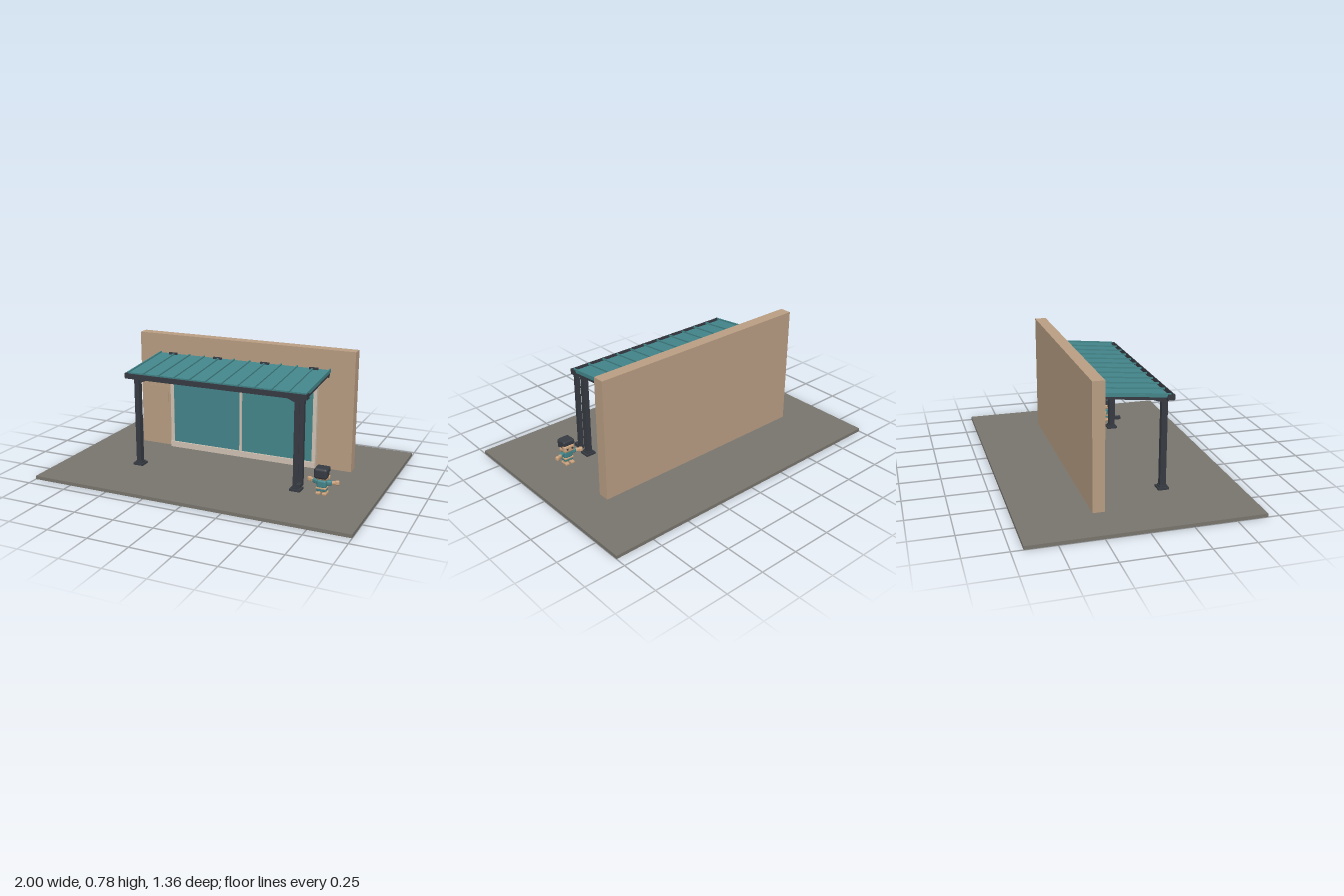
import * as THREE from 'three';
import { RoundedBoxGeometry } from 'three/addons/geometries/RoundedBoxGeometry.js';

const mat = (name, color, side = THREE.FrontSide) => {
  const m = new THREE.MeshStandardMaterial({ color, side });
  m.name = name;
  return m;
};

export function createModel() {
  const model = new THREE.Group();
  const paving = mat('paving', 0x78756e);
  const plaster = mat('plaster', 0xb89d82);
  const teal = mat('teal', 0x43858a);
  const dark = mat('charcoal', 0x363b42);
  const trim = mat('pale trim', 0xcfc2b2);
  const skin = mat('skin', 0xcaa27c);
  const copper = mat('copper', 0x8f6255);

  const add = (name, geo, m, x, y, z, parent = model) => {
    const mesh = new THREE.Mesh(geo, m);
    mesh.name = name;
    mesh.position.set(x, y, z);
    parent.add(mesh);
    return mesh;
  };
  // Box given by its lower and upper limits
  const box = (name, m, x0, x1, y0, y1, z0, z1, parent = model) =>
    add(name, new THREE.BoxGeometry(x1 - x0, y1 - y0, z1 - z0), m,
      (x0 + x1) / 2, (y0 + y1) / 2, (z0 + z1) / 2, parent);
  const group = (name, x, y, z, parent = model) => {
    const g = new THREE.Group();
    g.name = name;
    g.position.set(x, y, z);
    parent.add(g);
    return g;
  };

  // Ground and house wall
  box('groundSlab', paving, -1, 1, 0, 0.021, -0.682, 0.682);
  box('houseWall', plaster, -0.735, 0.735, 0.021, 0.78, -0.247, -0.175);
  box('wallPanel', plaster, -0.68, -0.535, 0.318, 0.428, -0.176, -0.172);

  // Sliding glass door
  const door = group('slidingDoor', 0, 0, 0);
  for (const s of [-1, 1]) {
    const x = s * 0.496;
    box('doorJamb', trim, x - 0.012, x + 0.012, 0.021, 0.598, -0.175, -0.153, door);
    const p = s * 0.245;
    box('doorGlass', teal, p - 0.241, p + 0.241, 0.058, 0.567, -0.162, -0.156, door);
  }
  box('doorHead', trim, -0.508, 0.508, 0.565, 0.598, -0.175, -0.153, door);
  box('doorSill', trim, -0.508, 0.508, 0.021, 0.059, -0.175, -0.145, door);
  box('doorMullion', trim, -0.008, 0.008, 0.055, 0.57, -0.17, -0.147, door);

  // Sloping roof with standing seams and rafters
  const roof = group('roof', 0, 0.628, 0.03);
  roof.rotation.x = 0.098;
  box('roofPanel', teal, -0.588, 0.583, -0.007, 0.007, -0.208, 0.207, roof);
  for (let i = 0; i < 12; i++) {
    const x = -0.583 + i * 0.1056;
    box('roofSeam', teal, x - 0.004, x + 0.004, 0.006, 0.016, -0.208, 0.222, roof);
  }
  for (let i = 0; i < 5; i++) {
    const x = -0.565 + i * 0.2825;
    box('rafter', dark, x - 0.012, x + 0.012, -0.026, -0.007, -0.206, 0.2, roof);
  }
  box('wallLedger', dark, -0.575, 0.575, 0.61, 0.636, -0.176, -0.162);
  for (const x of [-0.485, -0.165, 0.16, 0.48])
    box('wallBracket', dark, x - 0.029, x + 0.029, 0.612, 0.667, -0.158, -0.15);

  // Front beam and open gutter
  box('frontBeam', dark, -0.575, 0.575, 0.585, 0.606, 0.216, 0.24);
  box('gutterFloor', dark, -0.594, 0.59, 0.583, 0.59, 0.232, 0.272);
  box('gutterFront', dark, -0.594, 0.59, 0.583, 0.615, 0.266, 0.272);
  box('gutterBack', dark, -0.594, 0.59, 0.583, 0.609, 0.228, 0.234);
  for (const x of [-0.594, 0.584])
    box('gutterEnd', dark, x, x + 0.006, 0.583, 0.617, 0.23, 0.272);

  // Posts with stepped feet, and diagonal braces
  for (const s of [-1, 1]) {
    const x = s * 0.525;
    const post = group('post', x, 0, 0.232);
    box('postShaft', dark, -0.016, 0.016, 0.021, 0.588, -0.018, 0.018, post);
    box('postBase', dark, -0.033, 0.033, 0.021, 0.034, -0.033, 0.033, post);
    box('postCollar', dark, -0.022, 0.022, 0.034, 0.044, -0.024, 0.024, post);
    const side = box('beamBrace', dark, -0.038, 0.038, -0.007, 0.007, -0.009, 0.009, post);
    side.position.set(-s * 0.043, 0.573, 0);
    side.rotation.z = -s * 0.4;
    const rear = box('rafterBrace', dark, -0.01, 0.01, -0.007, 0.007, -0.066, 0.066, post);
    rear.position.set(0, 0.583, -0.073);
    rear.rotation.x = 0.33;
  }

  // Downspout with kicked-out outlet
  box('downspout', dark, 0.549, 0.574, 0.064, 0.585, 0.242, 0.268);
  box('downspoutOutlet', dark, 0.549, 0.574, 0.064, 0.085, 0.26, 0.306);

  // Ceiling lamps
  for (const x of [-0.28, 0.28]) {
    const lamp = group('ceilingLamp', x, 0, 0.012);
    add('lampHousing', new THREE.CylinderGeometry(0.027, 0.027, 0.017, 20), dark, 0, 0.6, 0, lamp);
    add('lampLens', new THREE.CylinderGeometry(0.022, 0.022, 0.008, 20), copper, 0, 0.588, 0, lamp);
  }

  // Small figure looking towards the house
  const figure = group('figure', 0.682, 0.021, 0.23);
  figure.rotation.y = Math.PI;
  const soft = (name, m, w, h, d, x, y, z, parent = figure) =>
    add(name, new RoundedBoxGeometry(w, h, d, 3, Math.min(w, h, d) * 0.28), m, x, y, z, parent);
  soft('hair', dark, 0.082, 0.066, 0.058, 0, 0.136, -0.014);
  soft('fringe', dark, 0.08, 0.034, 0.04, 0, 0.151, 0.014);
  soft('face', skin, 0.074, 0.05, 0.056, 0, 0.113, 0.008);
  soft('torso', teal, 0.058, 0.05, 0.044, 0, 0.066, 0);
  soft('belt', skin, 0.062, 0.01, 0.05, 0, 0.042, 0);
  soft('shorts', teal, 0.06, 0.02, 0.046, 0, 0.033, 0);
  for (const s of [-1, 1]) {
    soft('ear', skin, 0.014, 0.02, 0.018, s * 0.041, 0.113, 0);
    soft('leg', skin, 0.02, 0.026, 0.024, s * 0.018, 0.018, 0);
    soft('foot', skin, 0.026, 0.014, 0.056, s * 0.019, 0.007, 0.006);
    box('eye', dark, s * 0.018 - 0.005, s * 0.018 + 0.005, 0.108, 0.12, 0.034, 0.038, figure);
    const arm = group('arm', s * 0.026, 0.074, 0, figure);
    arm.rotation.y = -s * 0.4;
    soft('sleeve', teal, 0.034, 0.026, 0.026, s * 0.016, 0, 0, arm);
    soft('forearm', skin, 0.03, 0.02, 0.02, s * 0.042, 0, 0, arm);
    soft('hand', skin, 0.024, 0.026, 0.024, s * 0.063, 0, 0, arm);
  }
  return model;
}
